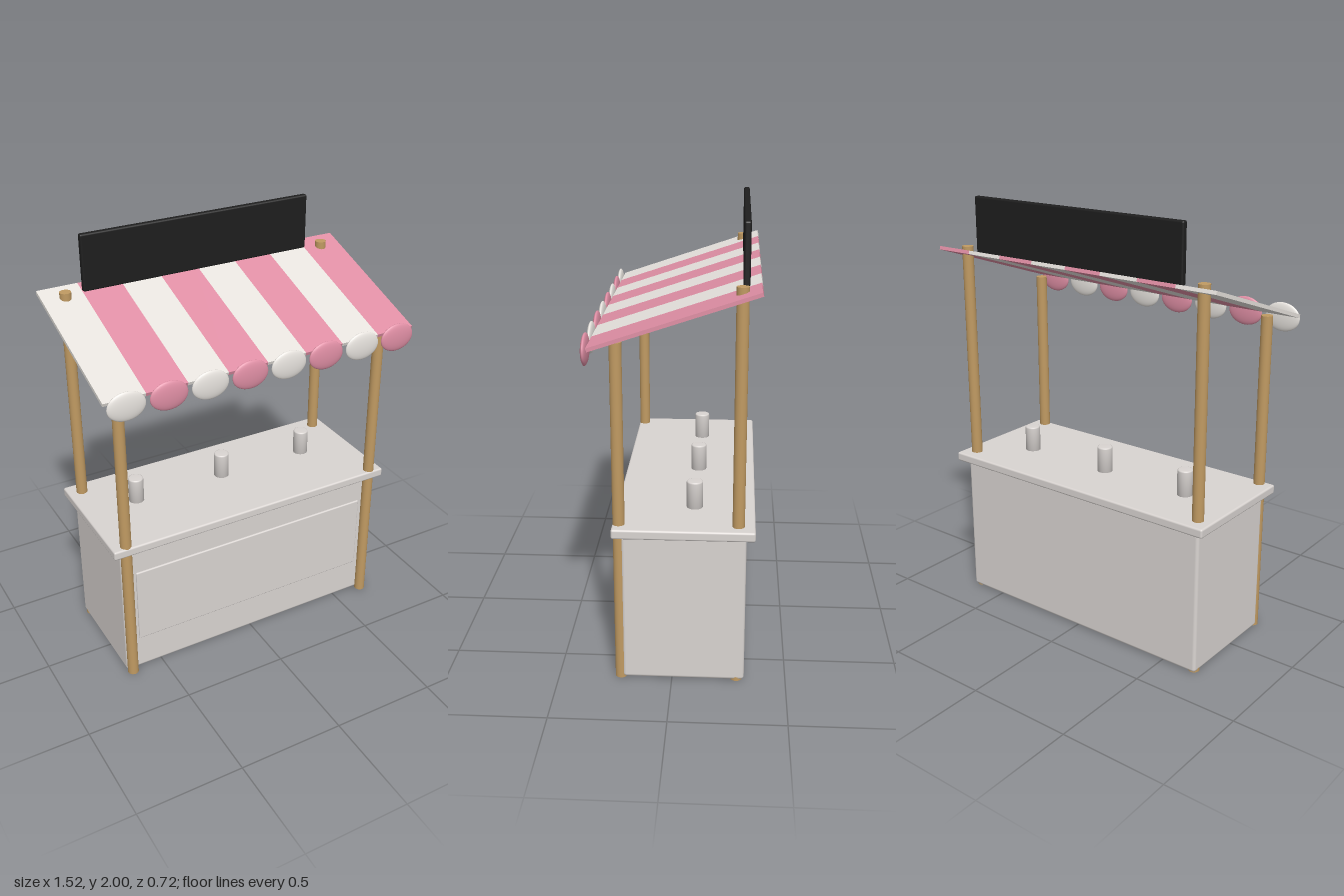
import * as THREE from 'three';
import { RoundedBoxGeometry } from 'three/addons/geometries/RoundedBoxGeometry.js';

const mat = (name, color) => {
  const m = new THREE.MeshStandardMaterial({ color });
  m.name = name;
  return m;
};

export function createModel() {
  const stall = new THREE.Group();
  stall.name = 'marketStall';

  const paint = mat('warmGreyPaint', 0xd9d4d1);
  const cream = mat('creamCloth', 0xe8e4df);
  const pink = mat('pinkCloth', 0xe08fa5);
  const wood = mat('wood', 0xc09a62);
  const black = mat('blackBoard', 0x1e1e1e);

  const add = (name, geometry, material, x, y, z, parent = stall) => {
    const mesh = new THREE.Mesh(geometry, material);
    mesh.name = name;
    mesh.position.set(x, y, z);
    parent.add(mesh);
    return mesh;
  };
  // Rounded box given by its limits on each axis
  const block = (name, material, [x0, x1], [y0, y1], [z0, z1], r) =>
    add(name, new RoundedBoxGeometry(x1 - x0, y1 - y0, z1 - z0, 2, r), material,
      (x0 + x1) / 2, (y0 + y1) / 2, (z0 + z1) / 2);

  // Cabinet, front panel and worktop
  block('cabinet', paint, [-0.683, 0.683], [0.005, 0.7], [-0.318, 0.216], 0.015);
  block('frontPanel', paint, [-0.613, 0.613], [0.18, 0.562], [0.2, 0.224], 0.006);
  block('worktop', paint, [-0.724, 0.724], [0.692, 0.735], [-0.355, 0.253], 0.009);

  // Tall back posts pass through the awning, short front posts stop below it
  for (const side of [-1, 1]) {
    for (const [name, z, height] of [['frontPost', 0.225, 1.53], ['backPost', -0.283, 1.76]]) {
      add(name, new THREE.CylinderGeometry(0.026, 0.026, height, 24), wood,
        side * 0.657, height / 2, z);
    }
  }

  // Cups with softened rims
  const cupProfile = [[0, 0], [0.036, 0], [0.036, 0.117], [0.034, 0.122], [0.029, 0.124], [0, 0.124]]
    .map(([r, y]) => new THREE.Vector2(r, y));
  for (const x of [-0.458, 0, 0.457]) {
    add('cup', new THREE.LatheGeometry(cupProfile, 24), paint, x, 0.734, -0.09);
  }

  // Sloping striped awning, each stripe ending in a flattened round scallop
  const awning = new THREE.Group();
  awning.name = 'awning';
  stall.add(awning);
  const drop = 0.23, run = 0.688, stripes = 8, width = 1.524 / stripes;
  const stripeGeometry = new THREE.BoxGeometry(width, 0.016, Math.hypot(drop, run));
  const scallopGeometry = new THREE.SphereGeometry(1, 28, 18).scale(0.087, 0.066, 0.016);
  for (let i = 0; i < stripes; i++) {
    const x = (i + 0.5 - stripes / 2) * width;
    const cloth = i % 2 ? pink : cream;
    add('awningStripe', stripeGeometry, cloth, x, 1.636, -0.016, awning)
      .rotation.x = Math.atan2(drop, run);
    add('awningScallop', scallopGeometry, cloth, x, 1.501, 0.345, awning);
  }

  // Blank sign board along the back of the roof
  block('signBoard', black, [-0.571, 0.571], [1.74, 2], [-0.312, -0.284], 0.008);

  return stall;
}
